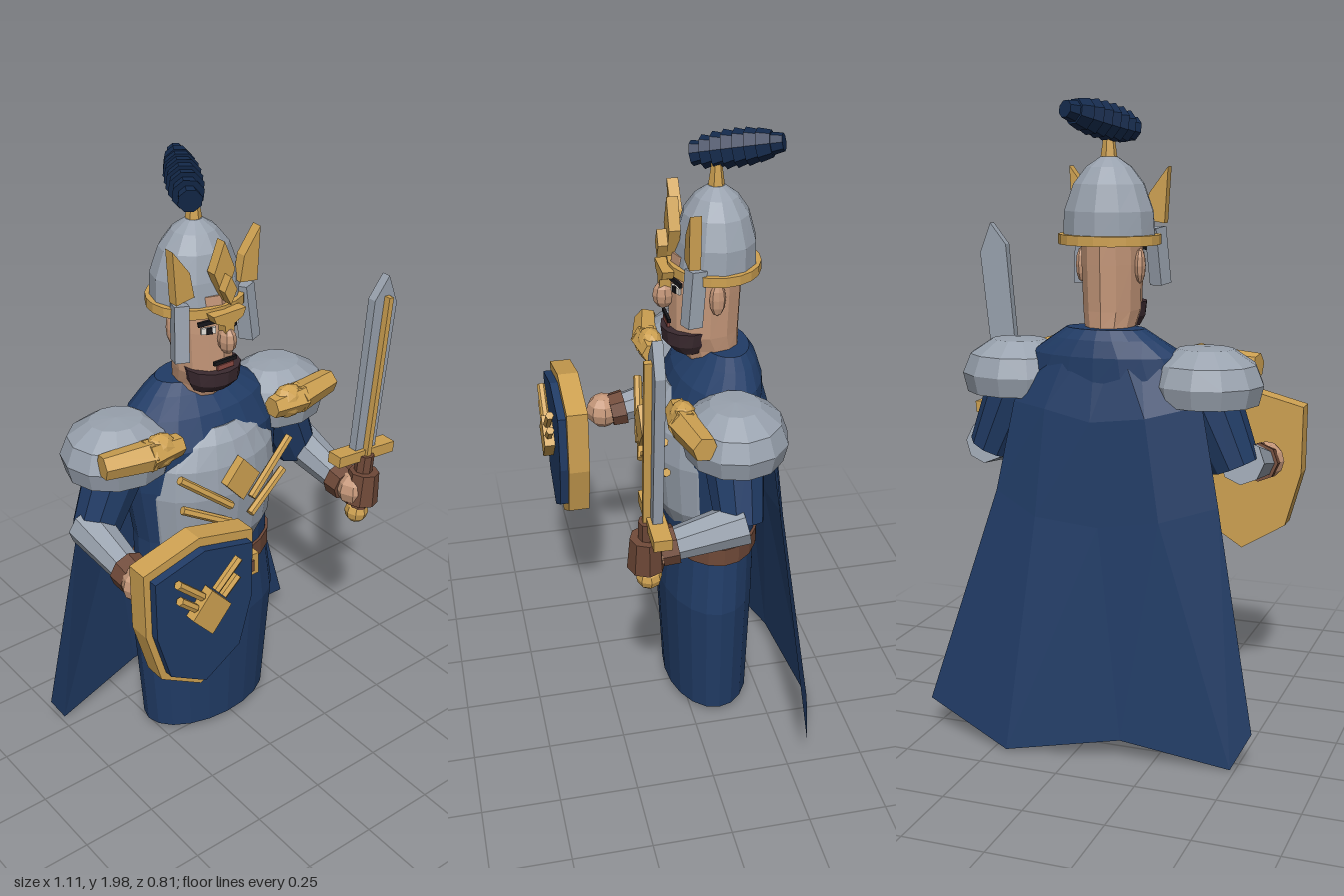
import * as THREE from 'three';

const mat = (name, color) => {
  const m = new THREE.MeshStandardMaterial({ color, flatShading: true, side: THREE.DoubleSide });
  m.name = name;
  return m;
};
const navy = mat('navy cloth', 0x213c66), plumeBlue = mat('dark plume', 0x142a4c);
const steel = mat('steel', 0x99a2ae), gold = mat('gold', 0xcfa252), skin = mat('skin', 0xc6987a);
const leather = mat('brown leather', 0x6f4938), hair = mat('dark beard', 0x3b2a30);
const black = mat('black', 0x17161a), white = mat('eye white', 0xe6e2da), lip = mat('lip', 0x8c4b44);

const CX = -0.03; // body's middle plane
const UP = new THREE.Vector3(0, 1, 0);
const V = (p) => new THREE.Vector3(...p);

function add(parent, name, geo, material, pos = [0, 0, 0], rot = [0, 0, 0], scale = [1, 1, 1]) {
  const m = new THREE.Mesh(geo, material);
  m.name = name;
  m.position.set(...pos);
  m.rotation.set(...rot);
  m.scale.set(...scale);
  parent.add(m);
  return m;
}
const box = (w, h, d) => new THREE.BoxGeometry(w, h, d);

// tapered rod from a to b
function rod(parent, name, a, b, ra, rb, sides, material) {
  const p = V(a), q = V(b), d = q.clone().sub(p);
  const m = add(parent, name, new THREE.CylinderGeometry(rb, ra, d.length(), sides), material);
  m.position.copy(p).add(q).multiplyScalar(0.5);
  m.quaternion.setFromUnitVectors(UP, d.normalize());
  return m;
}

// flat plate in xy, from z to z + depth
function plate(parent, name, pts, z, depth, material) {
  const shape = new THREE.Shape(pts.map((p) => new THREE.Vector2(...p)));
  return add(parent, name, new THREE.ExtrudeGeometry(shape, { depth, bevelEnabled: false }), material, [0, 0, z]);
}
const diamond = (x, y, w, h) => [[x, y + h], [x - w, y], [x, y - h], [x + w, y]];

// closed skin over elliptical rings [y, centre z, x radius, z radius], bottom to top
function loft(rings, n) {
  const pos = [], idx = [], top = (rings.length - 1) * n;
  for (const [y, cz, rx, rz] of rings)
    for (let j = 0; j < n; j++) {
      const a = (j / n) * Math.PI * 2;
      pos.push(CX + rx * Math.sin(a), y, cz + rz * Math.cos(a));
    }
  for (let i = 0; i < rings.length - 1; i++)
    for (let j = 0; j < n; j++) {
      const a = i * n + j, b = i * n + ((j + 1) % n);
      idx.push(a, b, b + n, a, b + n, a + n);
    }
  for (let j = 1; j < n - 1; j++) idx.push(0, j + 1, j, top, top + j, top + j + 1);
  const g = new THREE.BufferGeometry();
  g.setAttribute('position', new THREE.Float32BufferAttribute(pos, 3));
  g.setIndex(idx);
  g.computeVertexNormals();
  return g;
}

function buildBody(root) {
  const g = new THREE.Group();
  g.name = 'body';
  root.add(g);
  add(g, 'robe', loft([[0.03, -0.09, 0.24, 0.14], [0.45, -0.085, 0.272, 0.155], [0.64, -0.095, 0.25, 0.15],
    [0.8, -0.095, 0.25, 0.15], [1.0, -0.095, 0.28, 0.16], [1.14, -0.1, 0.29, 0.16],
    [1.23, -0.12, 0.245, 0.135], [1.28, -0.14, 0.17, 0.1], [1.31, -0.145, 0.125, 0.075]], 20), navy);
  add(g, 'breastplate', loft([[0.73, -0.06, 0.19, 0.12], [0.8, -0.06, 0.225, 0.15], [0.98, -0.06, 0.245, 0.17],
    [1.08, -0.06, 0.235, 0.16], [1.15, -0.07, 0.19, 0.145], [1.19, -0.08, 0.13, 0.12]], 20), steel);
  add(g, 'belt', loft([[0.635, -0.095, 0.258, 0.16], [0.695, -0.095, 0.258, 0.16]], 20), leather);
  add(g, 'buckle', box(0.115, 0.08, 0.035), gold, [0, 0.665, 0.085]);
  add(g, 'buckleCentre', box(0.07, 0.042, 0.01), leather, [0, 0.665, 0.105]);
  add(g, 'buckleStud', box(0.035, 0.02, 0.008), gold, [0, 0.665, 0.108]).visible = true;
  // chest ornament
  plate(g, 'chestDiamond', diamond(CX, 1.035, 0.065, 0.075), 0.1, 0.03, gold);
  for (const s of [1, -1]) {
    rod(g, 'chestBar', [CX + s * 0.215, 1.095, 0.09], [CX + s * 0.04, 0.95, 0.12], 0.014, 0.014, 6, gold);
    rod(g, 'chestBar', [CX + s * 0.2, 0.975, 0.08], [CX + s * 0.04, 0.885, 0.115], 0.014, 0.014, 6, gold);
  }
}

function buildArms(root) {
  for (const s of [1, -1]) {
    const g = new THREE.Group();
    g.name = s > 0 ? 'leftArm' : 'rightArm';
    root.add(g);
    const X = (d) => CX + s * d;
    const profile = [[0, 1.26], [0.085, 1.255], [0.155, 1.21], [0.18, 1.15], [0.165, 1.09], [0.1, 1.08]];
    add(g, 'pauldron', new THREE.LatheGeometry(profile.map((p) => new THREE.Vector2(...p)).reverse(), 12), steel, [X(0.308), 0, -0.105], [0, 0, 0], [1, 1, 0.9]);
    // gold clasp on the pauldron
    rod(g, 'claspBar', [X(0.18), 1.19, 0.045], [X(0.3), 1.19, 0.045], 0.035, 0.05, 6, gold);
    rod(g, 'claspBar', [X(0.28), 1.19, 0.045], [X(0.44), 1.19, 0.015], 0.05, 0.04, 6, gold);
    add(g, 'claspKnob', new THREE.IcosahedronGeometry(0.058, 1), gold, [X(0.25), 1.19, 0.04], [0, 0, 0], [1, 1, 0.75]);
    rod(g, 'sleeve', [X(0.3), 1.14, -0.1], [X(0.405), 0.9, -0.1], 0.1, 0.075, 10, navy);
    rod(g, 'vambrace', [X(0.425), 0.915, -0.11], [X(0.425), 0.865, 0.115], 0.07, 0.05, 8, steel);
    rod(g, 'cuff', [X(0.425), 0.868, 0.1], [X(0.425), 0.86, 0.15], 0.062, 0.058, 8, leather);
    add(g, 'hand', new THREE.SphereGeometry(0.06, 8, 6), skin, [X(0.43), 0.86, 0.175]);
  }
}

function buildHead(root) {
  const g = new THREE.Group();
  g.name = 'head';
  root.add(g);
  add(g, 'face', loft([[1.27, -0.11, 0.075, 0.085], [1.31, -0.1, 0.078, 0.09], [1.36, -0.08, 0.088, 0.11],
    [1.5, -0.083, 0.092, 0.113], [1.62, -0.09, 0.09, 0.11]], 12), skin);
  add(g, 'nose', new THREE.SphereGeometry(0.03, 8, 6), skin, [CX, 1.485, 0.045], [0, 0, 0], [0.9, 1.5, 1.15]);
  add(g, 'beard', loft([[1.305, -0.03, 0.07, 0.05], [1.335, -0.025, 0.086, 0.075], [1.38, -0.03, 0.092, 0.085]], 12), hair);
  add(g, 'moustache', box(0.085, 0.012, 0.009), black, [CX, 1.412, 0.036]);
  add(g, 'mouth', box(0.06, 0.016, 0.009), lip, [CX, 1.395, 0.036]);
  for (const s of [1, -1]) {
    const X = (d) => CX + s * d, turn = s * 0.35;
    add(g, 'eye', box(0.045, 0.02, 0.008), white, [X(0.048), 1.518, 0.017], [0, turn, 0]);
    add(g, 'pupil', box(0.018, 0.02, 0.008), black, [X(0.047), 1.518, 0.021], [0, turn, 0]);
    add(g, 'eyebrow', box(0.06, 0.014, 0.009), black, [X(0.052), 1.545, 0.018], [0, turn, -s * 0.12]);
    add(g, 'ear', new THREE.SphereGeometry(0.03, 8, 6), skin, [X(0.095), 1.495, -0.1], [0, 0, 0], [0.55, 1.8, 0.85]);
    add(g, 'cheekGuard', box(0.045, 0.175, 0.05), steel, [X(0.125), 1.52, -0.02], [-0.12, s * 0.35, s * 0.08]);
    plate(g, 'helmetWing', [[0.16, 1.79], [0.1, 1.71], [0.085, 1.63], [0.15, 1.62]].map(([x, y]) => [X(x), y]), -0.035, 0.035, gold);
  }
  // helmet
  add(g, 'helmetDome', loft([[1.57, -0.11, 0.145, 0.13], [1.66, -0.115, 0.14, 0.122], [1.74, -0.115, 0.11, 0.1],
    [1.79, -0.115, 0.07, 0.066], [1.82, -0.115, 0.025, 0.025]], 12), steel);
  add(g, 'helmetBand', loft([[1.56, -0.11, 0.158, 0.142], [1.59, -0.11, 0.158, 0.142]], 20), gold);
  plate(g, 'browGuard', [[-0.06, 1.58], [-0.05, 1.555], [-0.018, 1.54], [-0.014, 1.5], [0.014, 1.5], [0.018, 1.54],
    [0.05, 1.555], [0.06, 1.58]].map(([x, y]) => [CX + x, y]), 0.025, 0.035, gold);
  plate(g, 'helmetDiamond', diamond(CX, 1.7, 0.038, 0.093), 0, 0.035, gold);
  plate(g, 'helmetDiamondFront', diamond(CX, 1.65, 0.023, 0.045), 0.035, 0.03, gold);
  rod(g, 'plumeStem', [CX, 1.8, -0.115], [CX, 1.9, -0.115], 0.028, 0.014, 6, gold);
  // plume of overlapping flared tufts
  const a = V([-0.085, 1.9, -0.055]), b = V([0.035, 1.955, -0.29]);
  const radii = [0.038, 0.05, 0.056, 0.058, 0.058, 0.056, 0.05, 0.034];
  radii.forEach((r, i) => {
    const p = a.clone().lerp(b, i / 8), q = a.clone().lerp(b, (i + 1.2) / 8);
    rod(g, 'plumeTuft', p.toArray(), q.toArray(), r, r * 0.78, 8, plumeBlue);
  });
}

function buildShield(root) {
  const g = new THREE.Group();
  g.name = 'shield';
  g.position.set(-0.36, 0.8, 0);
  root.add(g);
  const half = [[0.197, 0.22], [0.195, 0], [0.145, -0.18]];
  const outline = (k) => [[0, 0.27 * k], ...half.map(([x, y]) => [-x * k, y * k]), [0, -0.27 * k],
    ...half.map(([x, y]) => [x * k, y * k]).reverse()];
  plate(g, 'shieldRim', outline(1), 0.27, 0.07, gold);
  plate(g, 'shieldFace', outline(0.89), 0.335, 0.032, navy);
  plate(g, 'shieldDiamond', diamond(0, 0.04, 0.07, 0.08), 0.367, 0.035, gold);
  for (const s of [1, -1]) {
    rod(g, 'shieldBar', [s * 0.11, 0.18, 0.385], [s * 0.025, 0.1, 0.385], 0.014, 0.014, 6, gold);
    rod(g, 'shieldBar', [s * 0.105, 0.12, 0.385], [s * 0.05, 0.07, 0.385], 0.014, 0.014, 6, gold);
  }
}

function buildSword(root) {
  const g = new THREE.Group();
  g.name = 'sword';
  g.position.set(0.43, 0.985, 0.17);
  g.rotation.z = -0.1;
  root.add(g);
  plate(g, 'blade', [[-0.043, 0], [0.043, 0], [0.048, 0.52], [0, 0.615], [-0.048, 0.54]], -0.015, 0.03, steel);
  add(g, 'bladeRidge', box(0.018, 0.55, 0.022), gold, [0, 0.275, 0.026]);
  add(g, 'guard', box(0.24, 0.038, 0.055), gold);
  rod(g, 'grip', [0, 0, 0.02], [0, -0.2, 0.02], 0.03, 0.03, 8, leather);
  add(g, 'gripWrap', new THREE.CylinderGeometry(0.05, 0.058, 0.11, 8), leather, [0, -0.115, 0.025]);
  add(g, 'pommel', new THREE.SphereGeometry(0.04, 8, 6), gold, [0, -0.215, 0.015]);
}

// cape: four rows of five points, right side to left side
function buildCape(root) {
  const rows = [
    [[-0.16, 1.25, -0.2], [-0.1, 1.28, -0.225], [CX, 1.29, -0.23], [0.05, 1.28, -0.225], [0.1, 1.25, -0.2]],
    [[-0.36, 1.1, -0.22], [-0.2, 1.06, -0.275], [CX, 1.04, -0.285], [0.12, 1.07, -0.275], [0.24, 1.08, -0.23]],
    [[-0.42, 0.8, -0.24], [-0.25, 0.75, -0.29], [-0.06, 0.72, -0.3], [0.14, 0.74, -0.31], [0.29, 0.8, -0.26]],
    [[-0.545, 0.12, -0.28], [-0.485, 0.005, -0.3], [-0.15, 0.07, -0.35], [0.205, 0.01, -0.405], [0.51, 0.1, -0.31]],
  ];
  const idx = [];
  for (let i = 0; i < 3; i++)
    for (let j = 0; j < 4; j++) {
      const a = i * 5 + j;
      idx.push(a, a + 1, a + 6, a, a + 6, a + 5);
    }
  const geo = new THREE.BufferGeometry();
  geo.setAttribute('position', new THREE.Float32BufferAttribute(rows.flat(2), 3));
  geo.setIndex(idx);
  geo.computeVertexNormals();
  add(root, 'cape', geo, navy);
}

export function createModel() {
  const root = new THREE.Group();
  root.name = 'knight';
  for (const build of [buildBody, buildArms, buildHead, buildShield, buildSword, buildCape]) build(root);
  return root;
}
